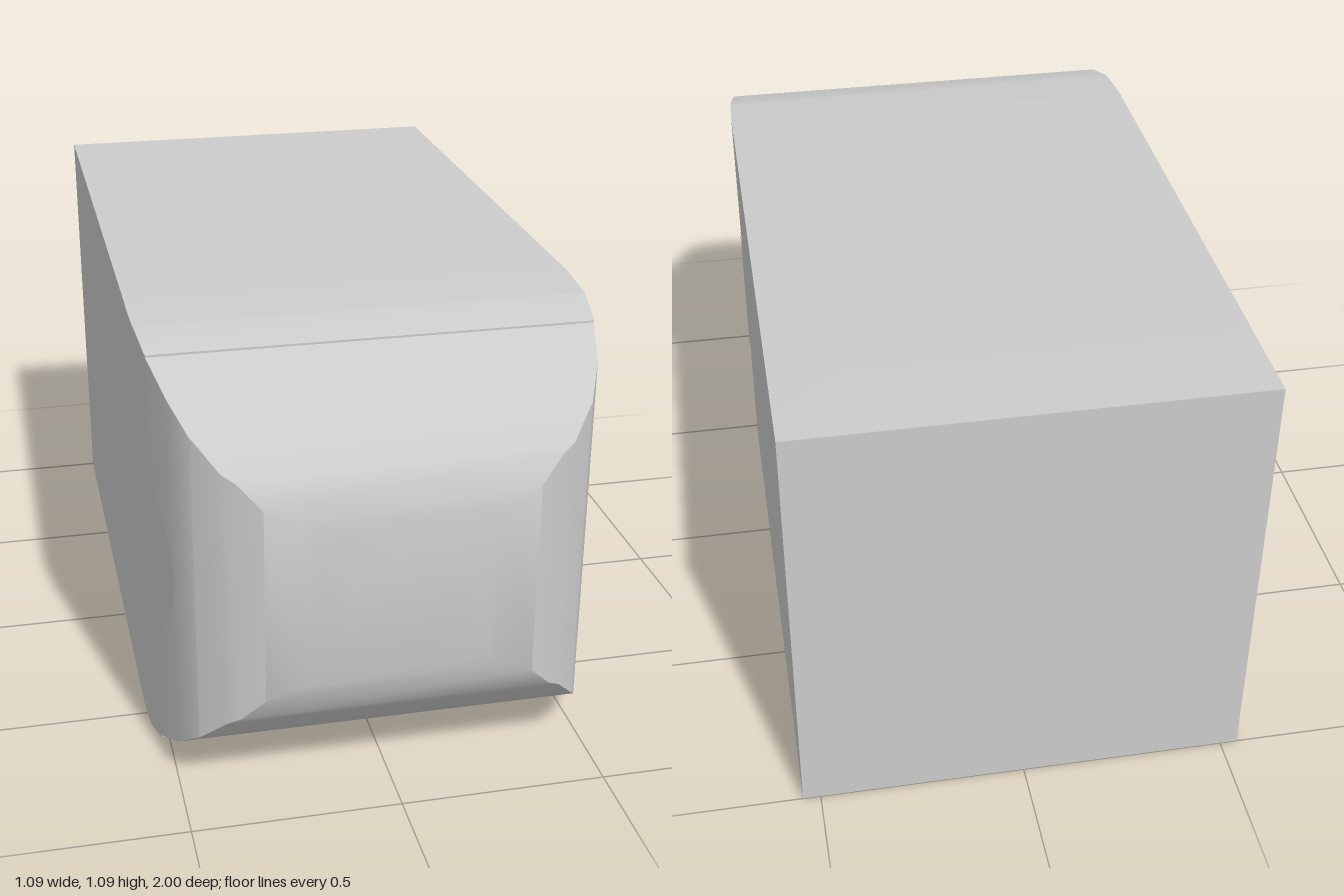
import * as THREE from 'three';
import { toCreasedNormals } from 'three/addons/utils/BufferGeometryUtils.js';

const material = new THREE.MeshStandardMaterial({ color: 0xcccccc });
const MID = 0.545; // height of the horizontal centre line

// half height and half width along the depth, as [z, half size]
const HEIGHTS = [[-1, 0.545], [0.42, 0.545], [0.57, 0.534], [0.67, 0.505], [0.775, 0.455],
  [0.866, 0.385], [0.936, 0.3], [0.98, 0.205], [1, 0.085]];
const WIDTHS = [[-1, 0.543], [0.45, 0.543], [0.556, 0.54], [0.66, 0.527], [0.78, 0.497],
  [0.863, 0.458], [0.92, 0.4], [0.963, 0.315], [0.987, 0.2], [1, 0.13]];

function sample(points, z) {
  let i = 1;
  while (i < points.length - 1 && points[i][0] < z) i++;
  const [z0, a] = points[i - 1], [z1, b] = points[i];
  return a + (b - a) * (z - z0) / (z1 - z0);
}

// rectangular sections lofted from the back to the rounded nose
function bodyGeometry() {
  const depths = [...new Set([...HEIGHTS, ...WIDTHS].map(p => p[0]))].sort((a, b) => a - b);
  const sections = [];
  for (const z of depths) {
    const w = sample(WIDTHS, z), h = sample(HEIGHTS, z);
    // the nose panel starts with a fine step that fades towards the tip
    const step = z >= 0.67 ? 0.005 * (1 - z) / 0.33 : 0;
    if (z === 0.67) sections.push([w, h, z]);
    sections.push([w, h - step, z]);
  }
  const positions = [], index = [];
  for (const [w, h, z] of sections) {
    positions.push(w, MID - h, z, w, MID + h, z, -w, MID + h, z, -w, MID - h, z);
  }
  for (let s = 0; s < sections.length - 1; s++) {
    for (let k = 0; k < 4; k++) {
      const a = s * 4 + k, b = s * 4 + (k + 1) % 4;
      index.push(a, b, b + 4, a, b + 4, a + 4);
    }
  }
  const e = (sections.length - 1) * 4;
  index.push(0, 2, 1, 0, 3, 2, e, e + 1, e + 2, e, e + 2, e + 3); // back and nose caps
  const geometry = new THREE.BufferGeometry();
  geometry.setAttribute('position', new THREE.Float32BufferAttribute(positions, 3));
  geometry.setIndex(index);
  return toCreasedNormals(geometry, 0.5);
}

// round side cover that follows the curve of the wall
function coverGeometry(side) {
  const geometry = new THREE.RingGeometry(0.001, 0.233, 24, 12);
  geometry.rotateY(side * Math.PI / 2);
  geometry.translate(0, MID, 0.56);
  const p = geometry.attributes.position;
  for (let i = 0; i < p.count; i++) p.setX(i, side * (sample(WIDTHS, p.getZ(i)) + 0.002));
  return geometry;
}

export function createModel() {
  const model = new THREE.Group();
  model.name = 'roundedNoseBlock';

  const body = new THREE.Mesh(bodyGeometry(), material);
  body.name = 'body';
  model.add(body);

  for (const side of [1, -1]) {
    const cover = new THREE.Mesh(coverGeometry(side), material);
    cover.name = side > 0 ? 'leftSideCover' : 'rightSideCover';
    model.add(cover);
  }
  return model;
}
